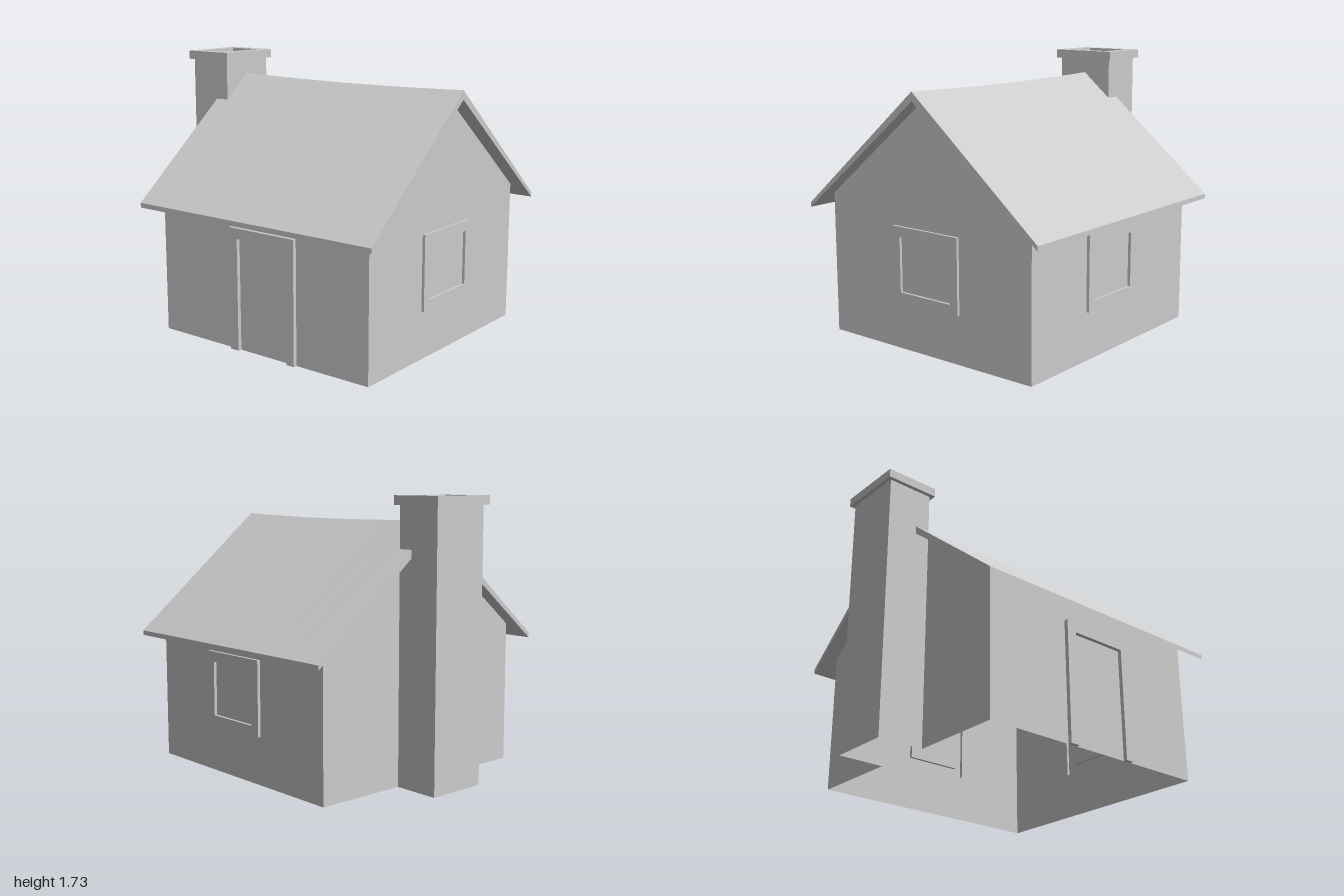
import * as THREE from 'three';

const material = new THREE.MeshStandardMaterial({ color: 0xcccccc, side: THREE.DoubleSide, flatShading: true });

function add(parent, name, geometry) {
  const mesh = new THREE.Mesh(geometry, material);
  mesh.name = name;
  parent.add(mesh);
  return mesh;
}

const rect = (x0, x1, y0, y1) => [[x0, y0], [x1, y0], [x1, y1], [x0, y1]];

function shape(points, ...holes) {
  const vectors = list => list.map(p => new THREE.Vector2(...p));
  const s = new THREE.Shape(vectors(points));
  for (const h of holes) s.holes.push(new THREE.Path(vectors(h)));
  return s;
}

const extrude = (s, depth, steps = 1) => new THREE.ExtrudeGeometry(s, { depth, steps, bevelEnabled: false });

// Only the side faces of an extruded shape
function rim(s, depth) {
  const solid = extrude(s, depth);
  const { start, count } = solid.groups[1];
  const g = new THREE.BufferGeometry();
  g.setAttribute('position', new THREE.BufferAttribute(solid.attributes.position.array.slice(start * 3, (start + count) * 3), 3));
  g.computeVertexNormals();
  return g;
}

// Upright sheets along a path of [x, z] points
function curtain(path, y0, y1) {
  const pos = [];
  for (let i = 0; i + 1 < path.length; i++) {
    const [ax, az] = path[i], [bx, bz] = path[i + 1];
    pos.push(ax, y0, az, bx, y0, bz, bx, y1, bz, ax, y0, az, bx, y1, bz, ax, y1, az);
  }
  const g = new THREE.BufferGeometry();
  g.setAttribute('position', new THREE.Float32BufferAttribute(pos, 3));
  g.computeVertexNormals();
  return g;
}

// Raised frame standing off the wall, with a pane level with the wall
function addFrame(wall, name, frame, pane, depth) {
  add(wall, name + 'FrameFace', new THREE.ShapeGeometry(frame)).position.z = depth;
  add(wall, name + 'FrameEdges', rim(frame, depth));
  add(wall, name + 'Panel', new THREE.ShapeGeometry(shape(pane)));
}

export function createModel() {
  const model = new THREE.Group();
  model.name = 'cottage';
  const W = 0.786, FRONT = 0.905, BACK = -0.68;
  const EAVE = 0.897, APEX = 1.53;
  const CX = 0.195, CBACK = -0.975;
  const under = x => APEX - 0.8056 * x;
  const over = x => 1.585 - 0.8333 * x;

  function wallGroup(name, x, z, turn) {
    const g = new THREE.Group();
    g.name = name;
    g.position.set(x, 0, z);
    g.rotation.y = turn;
    model.add(g);
    return g;
  }

  // Front gable with window
  const front = wallGroup('frontWall', 0, FRONT, 0);
  let outer = rect(-0.257, 0.257, 0.3, 0.765), inner = rect(-0.2, 0.2, 0.36, 0.7);
  add(front, 'frontGable', new THREE.ShapeGeometry(shape([[-W, 0], [W, 0], [W, EAVE], [0, APEX], [-W, EAVE]], outer)));
  addFrame(front, 'window', shape(outer, inner), inner, 0.017);

  // Left side wall with window
  const left = wallGroup('leftWall', W, 0, Math.PI / 2);
  outer = rect(-0.39, 0.11, 0.3, 0.765);
  inner = rect(-0.335, 0.045, 0.36, 0.7);
  add(left, 'leftWallSheet', new THREE.ShapeGeometry(shape(rect(-FRONT, -BACK, 0, EAVE), outer)));
  addFrame(left, 'window', shape(outer, inner), inner, 0.019);

  // Right side wall with door
  const right = wallGroup('rightWall', -W, 0, -Math.PI / 2);
  const d0 = -0.11, d1 = 0.39, i0 = -0.045, i1 = 0.335;
  add(right, 'rightWallSheet', new THREE.ShapeGeometry(shape([
    [BACK, 0], [d0, 0], [d0, 0.765], [d1, 0.765], [d1, 0], [FRONT, 0], [FRONT, EAVE], [BACK, EAVE]])));
  const doorFrame = shape([[d0, 0], [i0, 0], [i0, 0.7], [i1, 0.7], [i1, 0], [d1, 0], [d1, 0.765], [d0, 0.765]]);
  addFrame(right, 'door', doorFrame, rect(i0, i1, 0, 0.7), 0.025);

  // Back gable in two halves, open to the chimney between them
  const back = wallGroup('backWall', 0, BACK, Math.PI);
  for (const s of [-1, 1]) {
    add(back, 'backGableHalf', new THREE.ShapeGeometry(shape(
      [[s * CX, 0], [s * W, 0], [s * W, EAVE], [s * CX, under(CX)]])));
  }

  // Roof with a slightly sagging ridge
  const roofGeo = extrude(shape([
    [-0.9, under(0.9)], [0, APEX], [0.9, under(0.9)], [0.9, over(0.9)], [0, over(0)], [-0.9, over(0.9)]]), 1 - BACK, 10);
  roofGeo.translate(0, 0, BACK);
  const p = roofGeo.attributes.position;
  for (let i = 0; i < p.count; i++) {
    if (Math.abs(p.getX(i)) < 0.01) {
      const t = (p.getZ(i) - 0.16) / 0.84;
      p.setY(i, p.getY(i) - 0.013 * (1 - t * t));
    }
  }
  roofGeo.computeVertexNormals();
  add(model, 'roof', roofGeo);

  // Rear overhang on both sides of the chimney
  for (const s of [-1, 1]) {
    const g = extrude(shape([
      [s * CX, under(CX)], [s * 0.9, under(0.9)], [s * 0.9, over(0.9)], [s * CX, over(CX)]]), 0.095);
    add(model, 'rearOverhang', g).position.z = BACK - 0.095;
  }

  // Chimney stack, flue and cap
  const chimney = new THREE.Group();
  chimney.name = 'chimney';
  model.add(chimney);
  add(chimney, 'stack', curtain([[CX, BACK], [CX, CBACK], [-CX, CBACK], [-CX, BACK]], 0, 1.68));
  add(chimney, 'stackFront', curtain([[-CX, BACK], [CX, BACK]], under(CX), 1.68));
  const fx = 0.147, f0 = -0.945, f1 = -0.72;
  add(chimney, 'flue', curtain([[-fx, f0], [fx, f0], [fx, f1], [-fx, f1], [-fx, f0]], 1.3, 1.68));
  const cap = extrude(shape(rect(-0.22, 0.22, 0.655, 1), rect(-fx, fx, -f1, -f0)), 0.055);
  cap.rotateX(-Math.PI / 2);
  add(chimney, 'chimneyCap', cap).position.y = 1.677;

  return model;
}
